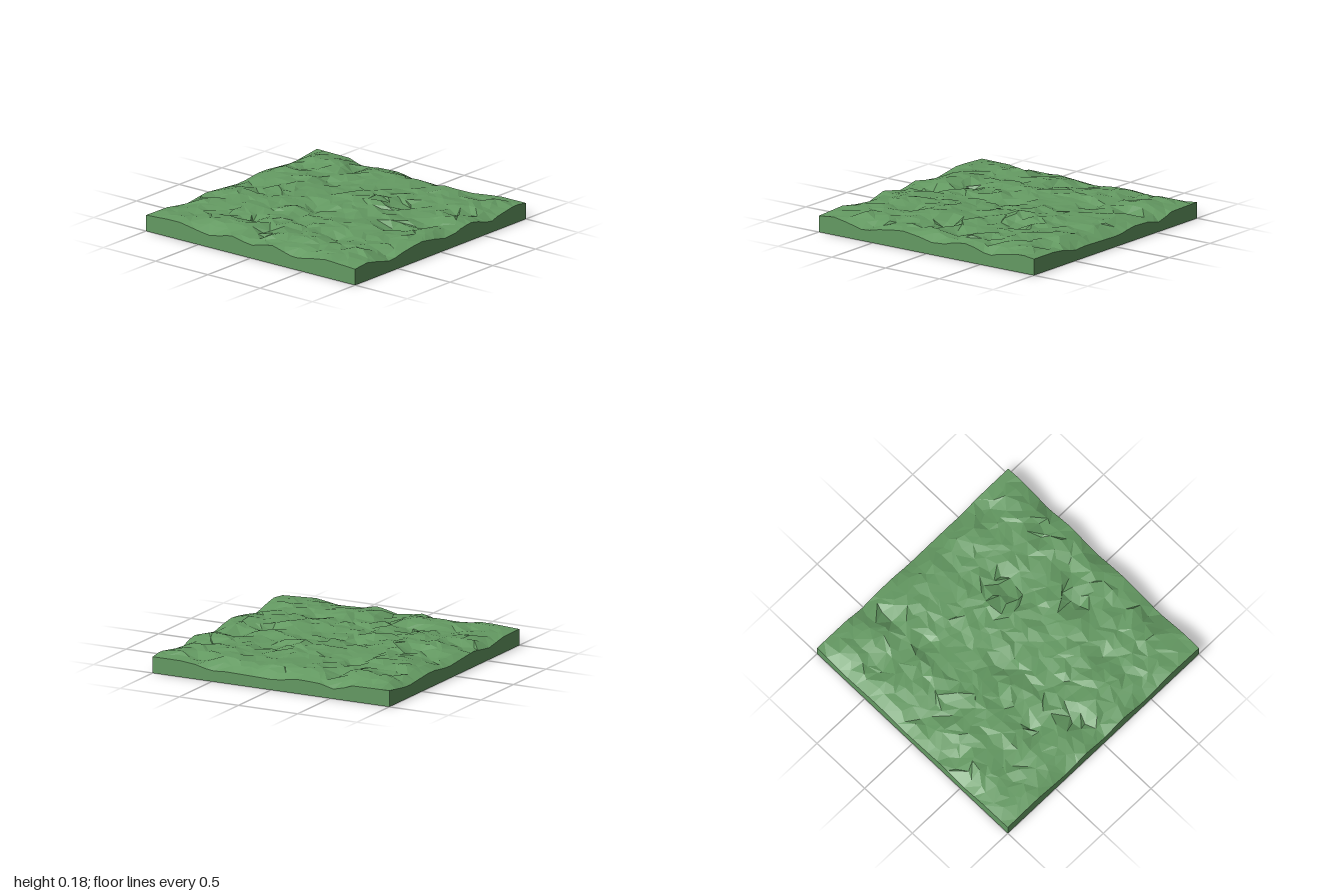
import * as THREE from 'three';

const N = 26; // cells along each side
const clamp = THREE.MathUtils.clamp, lerp = THREE.MathUtils.lerp;

// Height along a polyline of [position, height] pairs
function profile(points, t) {
  for (let i = 1; i < points.length; i++) {
    const [a, ya] = points[i - 1], [b, yb] = points[i];
    if (t <= b) return lerp(ya, yb, clamp((t - a) / (b - a), 0, 1));
  }
  return points[points.length - 1][1];
}

// Height of the ground where it meets each side
const EDGE = {
  front: [[-1, .125], [-.85, .14], [-.66, .1], [-.58, .08], [-.45, .11], [-.24, .14], [-.1, .125], [.12, .08], [.2, .115], [.35, .14], [.46, .12], [.58, .08], [.68, .11], [.88, .14], [1, .125]],
  back: [[-1, .125], [-.75, .122], [-.53, .09], [-.3, .12], [.1, .09], [.35, .12], [.72, .09], [1, .125]],
  right: [[-1, .125], [-.68, .12], [-.55, .07], [-.4, .105], [-.2, .11], [-.05, .08], [.4, .09], [.51, .08], [.62, .11], [.75, .125], [1, .125]],
  left: [[-1, .125], [-.7, .14], [-.45, .1], [-.35, .09], [-.2, .14], [0, .1], [.2, .145], [.42, .09], [.7, .14], [1, .125]],
};

// Highest ground allowed across the width and the depth
const CREST_X = [[-1, .145], [-.68, .185], [-.5, .17], [-.35, .18], [-.1, .166], [.1, .182], [.28, .19], [.45, .17], [.6, .185], [.73, .185], [.85, .16], [1, .125]];
const CREST_Z = [[-1, .125], [-.9, .16], [-.75, .185], [-.4, .16], [-.25, .18], [-.05, .165], [.1, .185], [.4, .18], [.75, .19], [1, .145]];

// Steep banks: [high x, high z, low x, low z]
const BANKS = [
  [-.24, -.2, -.09, -.12], [.36, -.57, .46, -.4], [.4, -.93, .58, -.8],
  [-.74, -.42, -.6, -.35], [-.69, .33, -.54, .45], [.04, .5, .15, .76],
  [.8, .44, .85, .66], [-.7, .78, -.56, .95], [.78, -.62, .82, -.45],
  [.34, .85, .5, .82], [-.1, -.93, .02, -.83], [-.2, -.72, -.05, -.64],
  [.27, .16, .36, .33], [-.25, .5, -.12, .62], [-.5, -.85, -.36, -.9], [-.8, .1, -.78, -.03],
];

// Repeatable value in the range -1 to 1
function hash(i, j, seed) {
  const s = Math.sin(i * 127.1 + j * 311.7 + seed * 74.7) * 43758.5453;
  return (s - Math.floor(s)) * 2 - 1;
}

function groundHeight(x, z, i, j) {
  let y = .15 + .011 * Math.sin(5 * x + 2 * z) * Math.cos(6 * z - 2 * x) + .011 * hash(i, j, 3);
  const bump = (px, pz) => Math.exp(-((x - px) ** 2 + (z - pz) ** 2) / .008);
  for (const [hx, hz, lx, lz] of BANKS) y += .028 * bump(hx, hz) - .045 * bump(lx, lz);
  y = clamp(y, .085, Math.min(profile(CREST_X, x), profile(CREST_Z, z)));
  // blend into the side profiles near the rim
  const dx = 1 - Math.abs(x), dz = 1 - Math.abs(z);
  const edge = dx < dz ? profile(x > 0 ? EDGE.right : EDGE.left, z)
    : profile(z > 0 ? EDGE.front : EDGE.back, x);
  return lerp(edge, y, clamp(Math.min(dx, dz) / .12, 0, 1));
}

export function createModel() {
  const group = new THREE.Group();
  group.name = 'grassTerrain';
  const material = new THREE.MeshStandardMaterial({ color: 0x649a62, flatShading: true, side: THREE.DoubleSide });

  // Ground points: a jittered grid with a straight rim
  const point = (i, j) => {
    const rimX = i === 0 || i === N, rimZ = j === 0 || j === N;
    const x = -1 + 2 * (i + (rimX ? 0 : .36 * hash(i, j, 1))) / N;
    const z = -1 + 2 * (j + (rimZ ? 0 : .36 * hash(i, j, 2))) / N;
    return [x, groundHeight(x, z, i, j), z];
  };

  const addMesh = (name, positions, index) => {
    const geometry = new THREE.BufferGeometry();
    geometry.setAttribute('position', new THREE.Float32BufferAttribute(positions, 3));
    geometry.setIndex(index);
    geometry.computeVertexNormals();
    const mesh = new THREE.Mesh(geometry, material);
    mesh.name = name;
    group.add(mesh);
  };

  // Rough ground surface, with irregular diagonals
  const positions = [], index = [];
  for (let j = 0; j <= N; j++) for (let i = 0; i <= N; i++) positions.push(...point(i, j));
  for (let j = 0; j < N; j++) for (let i = 0; i < N; i++) {
    const a = j * (N + 1) + i, b = a + 1, c = a + N + 1, d = c + 1;
    if (hash(i, j, 4) > 0) index.push(a, c, b, b, c, d);
    else index.push(a, c, d, a, d, b);
  }
  addMesh('ground', positions, index);

  // Side walls down to the open base, each running so that it faces outward
  const walls = {
    frontWall: k => point(k, N), rightWall: k => point(N, N - k),
    backWall: k => point(N - k, 0), leftWall: k => point(0, k),
  };
  for (const [name, at] of Object.entries(walls)) {
    const wall = [], faces = [];
    for (let k = 0; k <= N; k++) {
      const [x, y, z] = at(k);
      wall.push(x, y, z, x, 0, z);
      if (k < N) faces.push(2 * k, 2 * k + 1, 2 * k + 2, 2 * k + 2, 2 * k + 1, 2 * k + 3);
    }
    addMesh(name, wall, faces);
  }
  return group;
}
